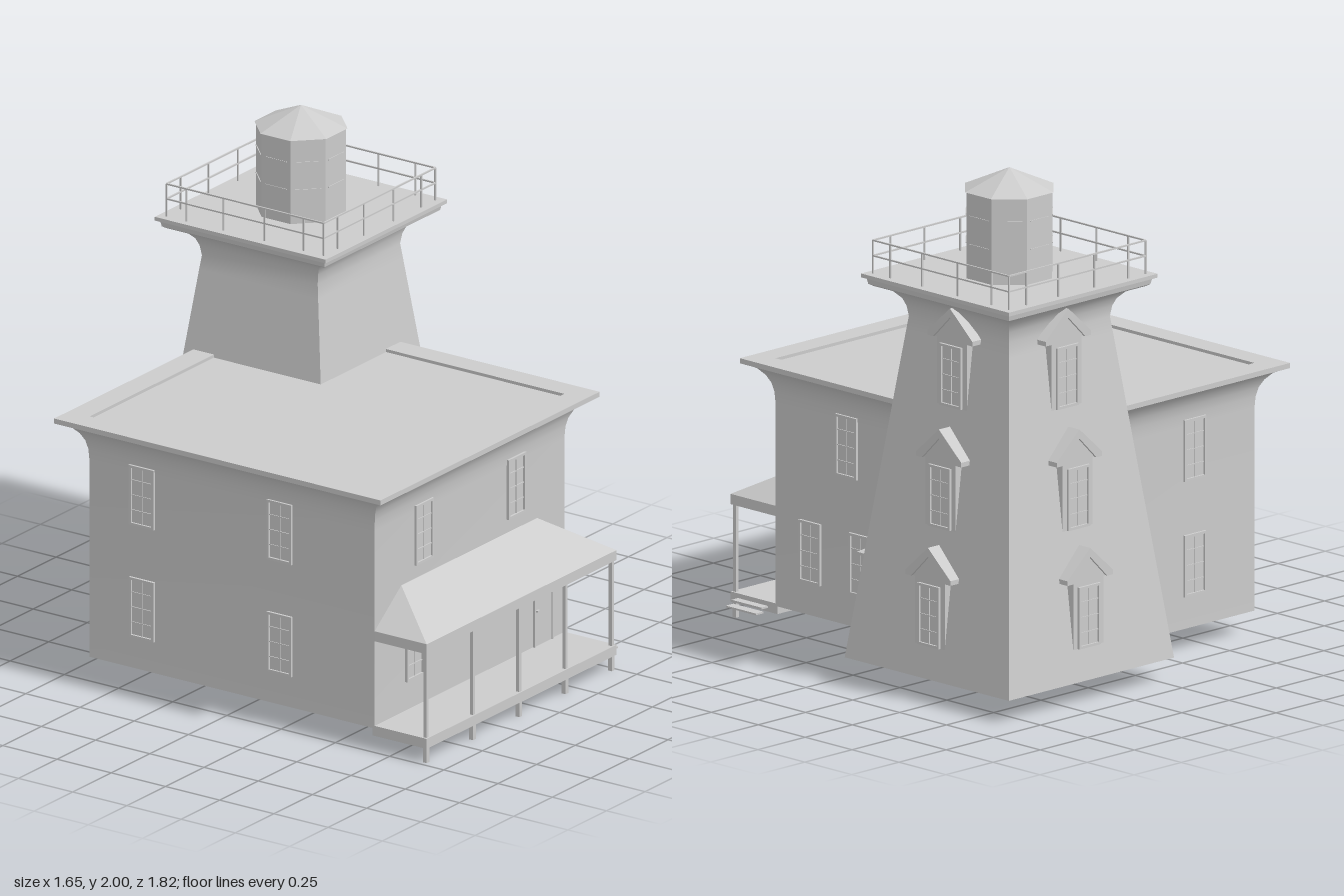
import * as THREE from 'three';
import { toCreasedNormals } from 'three/addons/utils/BufferGeometryUtils.js';
import { ConvexGeometry } from 'three/addons/geometries/ConvexGeometry.js';

const mat = new THREE.MeshStandardMaterial({ color: 0xcccccc });

function add(parent, name, geo, x = 0, y = 0, z = 0) {
  const m = new THREE.Mesh(geo, mat);
  m.name = name;
  m.position.set(x, y, z);
  parent.add(m);
  return m;
}
// Box given by its minimum and maximum on each axis
function box(parent, name, x0, x1, y0, y1, z0, z1) {
  return add(parent, name, new THREE.BoxGeometry(x1 - x0, y1 - y0, z1 - z0),
    (x0 + x1) / 2, (y0 + y1) / 2, (z0 + z1) / 2);
}
function group(parent, name, x = 0, y = 0, z = 0, turn = 0) {
  const g = new THREE.Group();
  g.name = name;
  g.position.set(x, y, z);
  g.rotation.y = turn;
  parent.add(g);
  return g;
}
function hull(parent, name, pts) {
  return add(parent, name, new ConvexGeometry(pts.map(p => new THREE.Vector3(...p))));
}
function polygon(pts) {
  return new THREE.Shape(pts.map(p => new THREE.Vector2(...p)));
}

// Rectangular rings stacked by [height, outward offset], closed at both ends
function rectStack(hx, hz, profile) {
  const signs = [[1, 1], [1, -1], [-1, -1], [-1, 1]];
  const rings = profile.map(([y, o]) => signs.map(([sx, sz]) => [sx * (hx + o), y, sz * (hz + o)]));
  const pos = [];
  const quad = (a, b, c, d) => pos.push(...a, ...b, ...c, ...a, ...c, ...d);
  for (let r = 0; r < rings.length - 1; r++)
    for (let i = 0; i < 4; i++) {
      const j = (i + 1) % 4;
      quad(rings[r][i], rings[r][j], rings[r + 1][j], rings[r + 1][i]);
    }
  quad(...rings[0].slice().reverse());
  quad(...rings[rings.length - 1]);
  const geo = new THREE.BufferGeometry();
  geo.setAttribute('position', new THREE.Float32BufferAttribute(pos, 3));
  return toCreasedNormals(geo, 0.5);
}

// Sash window on a wall; local +z points out of the wall, y is the sill
function addWindow(parent, x, y, z, turn) {
  const g = group(parent, 'window', x, y, z, turn);
  const w = 0.057, h = 0.24, t = 0.01;
  const s = polygon([[-w, 0], [w, 0], [w, h], [-w, h]]);
  s.holes.push(new THREE.Path([[-w + t, t], [-w + t, h - t], [w - t, h - t], [w - t, t]]
    .map(p => new THREE.Vector2(...p))));
  add(g, 'windowFrame', new THREE.ExtrudeGeometry(s, { depth: 0.01, bevelEnabled: false }));
  box(g, 'glass', -w + t, w - t, t, h - t, -0.005, 0.002);
  box(g, 'muntin', -0.002, 0.002, t, h - t, 0, 0.005);
  for (const k of [0.25, 0.5, 0.75])
    box(g, 'glazingBar', -w + t, w - t, h * k - 0.002, h * k + 0.002, 0, 0.006);
}

// Panelled door; local +z points out
function addDoor(parent, x, y, z, w, h) {
  const g = group(parent, 'door', x, y, z);
  box(g, 'doorLeaf', -w / 2, w / 2, 0, h, -0.005, 0.004);
  for (const s of [-1, 1])
    box(g, 'doorJamb', s * w / 2 - 0.004, s * w / 2 + 0.004, 0, h, -0.005, 0.009);
  box(g, 'doorHead', -w / 2, w / 2, h - 0.004, h + 0.004, -0.005, 0.009);
  box(g, 'doorHandle', -w / 2 + 0.008, -w / 2 + 0.024, h * 0.44, h * 0.44 + 0.006, 0, 0.014);
}

function buildHouse(root) {
  const house = group(root, 'house');
  const cx = -0.12, cz = 0.0125, hx = 0.615, hz = 0.6575;
  // Walls, coved cornice and sunken roof
  add(house, 'wallsAndRoof', rectStack(hx, hz, [[0.09, 0], [0.88, 0], [0.925, 0.003], [0.96, 0.011],
    [0.99, 0.026], [1.015, 0.048], [1.03, 0.075], [1.035, 0.095], [1.055, 0.095],
    [1.055, 0], [1.043, 0]]), cx, 0, cz);

  const front = cz + hz, back = cz - hz, left = cx + hx, right = cx - hx;
  const up = 0.665, low = 0.215, q = Math.PI / 2;
  for (const [x, y] of [[-0.42, up], [0.178, up], [-0.48, low]]) addWindow(house, x, y, front, 0);
  for (const [z, y] of [[0.288, up], [0.483, low], [0.215, low]]) addWindow(house, left, y, z, q);
  for (const y of [up, low]) {
    addWindow(house, -0.415, y, back, 2 * q);
    for (const z of [-0.4, 0.235]) addWindow(house, right, y, z, -q);
  }
  addDoor(house, 0.352, 0.1, front, 0.115, 0.315);
}

function buildPorch(root) {
  const porch = group(root, 'porch');
  const x0 = -0.735, x1 = 0.495, z0 = 0.66, z1 = 0.91;
  box(porch, 'porchFloor', x0, x1, 0.06, 0.1, z0, z1);
  // Hipped roof with fascia
  hull(porch, 'porchRoof', [
    [x0, 0.44, z0], [x1, 0.44, z0], [x0, 0.44, z1], [x1, 0.44, z1],
    [x0, 0.48, z0], [x1, 0.48, z0], [x0, 0.48, z1], [x1, 0.48, z1],
    [-0.555, 0.617, z0], [0.31, 0.617, z0]]);
  for (let i = 0; i < 5; i++) {
    const x = -0.72 + i * 0.3;
    box(porch, 'porchColumn', x - 0.007, x + 0.007, 0.1, 0.44, 0.89, 0.904);
    box(porch, 'porchFoot', x - 0.009, x + 0.009, 0, 0.06, 0.888, 0.906);
  }
  // Side steps
  box(porch, 'upperStep', 0.49, 0.53, 0.075, 0.082, 0.71, 0.87);
  box(porch, 'lowerStep', 0.52, 0.56, 0.058, 0.065, 0.71, 0.87);
}

function buildTower(root) {
  const tower = group(root, 'tower', 0.387, 0, -0.468);
  const slope = 0.128, halfAt = y => 0.4375 - slope * (y - 0.09);
  // Battered walls, coved neck and gallery deck
  add(tower, 'towerWallsAndDeck', rectStack(0, 0, [[0.09, halfAt(0.09)], [1.36, halfAt(1.36)],
    [1.42, 0.267], [1.46, 0.273], [1.49, 0.285], [1.515, 0.308], [1.53, 0.335], [1.537, 0.362],
    [1.545, 0.375], [1.57, 0.38], [1.57, 0.394], [1.585, 0.394]]));

  // Gabled window bays on the left and back faces
  for (const turn of [Math.PI / 2, Math.PI])
    for (const sill of [0.215, 0.665, 1.125]) {
      const face = group(tower, 'windowBay', 0, 0, 0, turn);
      const bay = group(face, 'bay', 0, sill, halfAt(sill));
      const cheek = polygon([[0, 0], [0, 0.265], [0.1, 0.265], [0.1, -0.02]]);
      const body = add(bay, 'bayBody', new THREE.ExtrudeGeometry(cheek, { depth: 0.16, bevelEnabled: false }), -0.08);
      body.rotation.y = Math.PI / 2;
      addWindow(bay, 0, 0, 0, 0);
      const chevron = polygon([[-0.12, 0.26], [-0.09, 0.26], [0, 0.35], [0.09, 0.26],
        [0.12, 0.26], [0.12, 0.278], [0, 0.385], [-0.12, 0.278]]);
      add(bay, 'bayRoof', new THREE.ExtrudeGeometry(chevron, { depth: 0.12, bevelEnabled: false }), 0, 0, -0.11);
      const gable = polygon([[-0.1, 0.26], [0.1, 0.26], [0, 0.36]]);
      add(bay, 'bayGable', new THREE.ExtrudeGeometry(gable, { depth: 0.1, bevelEnabled: false }), 0, 0, -0.1);
    }

  // Gallery railing
  const r = 0.362, t = 0.003;
  for (let i = 0; i < 4; i++) {
    const side = group(tower, 'railing', 0, 0, 0, i * Math.PI / 2);
    for (const y of [1.655, 1.715]) box(side, 'rail', -r, r, y - t, y + t, r - t, r + t);
    for (const x of [-r, -0.27, -0.1, 0.09, 0.27])
      box(side, 'railPost', x - t, x + t, 1.58, 1.715, r - t, r + t);
  }

  // Octagonal lantern
  const lantern = group(tower, 'lantern');
  const c = Math.cos(Math.PI / 8);
  const octagon = (top, bottom, h) => new THREE.CylinderGeometry(top / c, bottom / c, h, 8, 1, false, Math.PI / 8).toNonIndexed();
  const flat = geo => { geo.computeVertexNormals(); return geo; };
  add(lantern, 'lanternRoom', flat(octagon(0.161, 0.161, 0.34)), 0, 1.75, 0);
  add(lantern, 'lanternRoof', flat(octagon(0.0001, 0.166, 0.08)), 0, 1.96, 0);
  for (let i = 0; i < 8; i++) {
    const pane = group(lantern, 'glazing', 0, 0, 0, i * Math.PI / 4);
    for (const y of [1.72, 1.83]) box(pane, 'glazingBar', -0.05, 0.05, y - 0.002, y + 0.002, 0.158, 0.164);
  }
}

// Small entrance between house and tower
function buildEntry(root) {
  const entry = group(root, 'entry');
  box(entry, 'entryWalls', 0.48, 0.705, 0.09, 0.475, -0.2, -0.02);
  addDoor(entry, 0.605, 0.1, -0.02, 0.135, 0.33);
  hull(entry, 'entryRoof', [
    [0.48, 0.465, 0.005], [0.725, 0.465, 0.005], [0.48, 0.475, 0.005], [0.725, 0.475, 0.005],
    [0.48, 0.465, -0.2], [0.725, 0.465, -0.2], [0.725, 0.475, -0.2],
    [0.48, 0.535, -0.09], [0.555, 0.535, -0.09], [0.48, 0.535, -0.2], [0.555, 0.535, -0.2]]);
}

export function createModel() {
  const root = new THREE.Group();
  root.name = 'lighthouse';
  buildHouse(root);
  buildPorch(root);
  buildTower(root);
  buildEntry(root);
  return root;
}
